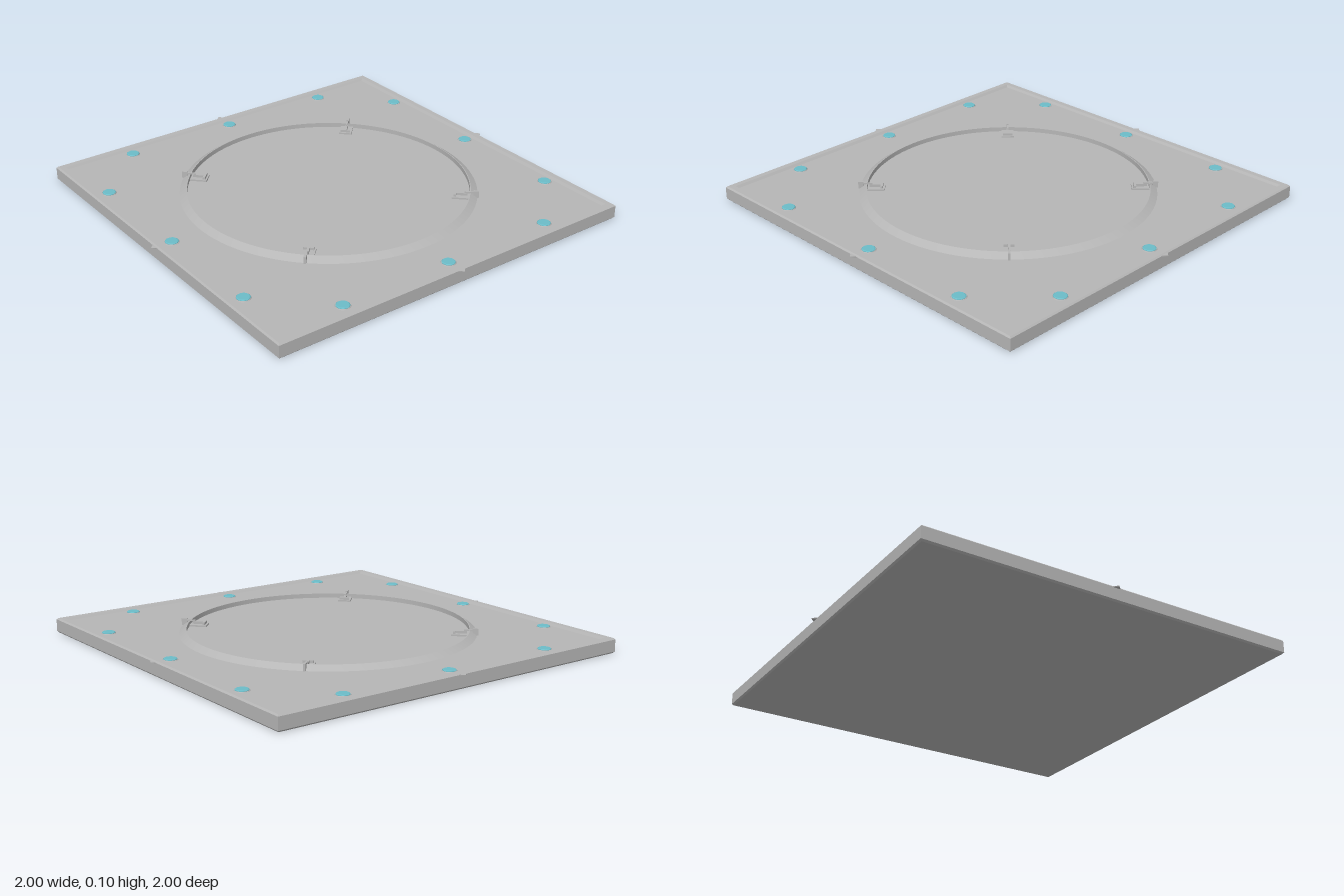
import * as THREE from 'three';
import { toCreasedNormals } from 'three/addons/utils/BufferGeometryUtils.js';

const DECK = 0.064; // height of the deck surface

const lathe = (points, segments, start = 0) => toCreasedNormals(
  new THREE.LatheGeometry(points.map(([r, y]) => new THREE.Vector2(r, y)), segments, start), 0.4);

export function createModel() {
  const model = new THREE.Group();
  const grey = new THREE.MeshStandardMaterial({ color: 0xb6b6b6 });
  grey.name = 'grey metal';
  const teal = new THREE.MeshStandardMaterial({ color: 0x6cbcc8 });
  teal.name = 'teal lamp';

  const add = (parent, name, geometry, material, x = 0, y = 0, z = 0) => {
    const mesh = new THREE.Mesh(geometry, material);
    mesh.name = name;
    mesh.position.set(x, y, z);
    parent.add(mesh);
    return mesh;
  };

  // Square slab with chamfered edges and a raised border, turned with four sides
  const s = Math.SQRT2;
  const slab = [[0, 0], [0.972, 0], [0.98, 0.008], [0.98, 0.068], [0.973, 0.075],
    [0.945, 0.075], [0.936, DECK], [0, DECK]].map(([r, y]) => [r * s, y]);
  add(model, 'slab', lathe(slab, 4, Math.PI / 4), grey);

  // Raised circular lip: sloped outside, upright inside
  add(model, 'ringLip', lathe([[0.73, DECK - 0.001], [0.695, 0.087], [0.691, 0.087], [0.691, DECK - 0.001]], 96), grey);

  // Three edge lamps and one flat pointer along each side
  const lamp = lathe([[0.032, 0], [0.032, 0.005], [0.028, 0.008], [0, 0.008]], 24);
  const socket = lathe([[0.036, 0], [0.034, 0.003], [0.03, 0.003]], 24);
  for (let i = 0; i < 4; i++) {
    const side = new THREE.Group();
    side.name = 'edgeFittings';
    side.rotation.y = i * Math.PI / 2;
    for (const x of [-0.59, 0, 0.59]) {
      add(side, 'lampSocket', socket, grey, x, DECK, 0.892);
      add(side, 'lamp', lamp, teal, x, DECK, 0.892);
    }
    add(side, 'edgePointer', new THREE.CylinderGeometry(0.02, 0.02, 0.004, 4), grey, 0, 0.068, 0.98);
    model.add(side);
  }

  // Tie-down clips on the diagonals, each with an I-shaped rib and an outer fin
  for (let i = 0; i < 4; i++) {
    const clip = new THREE.Group();
    clip.name = 'tieDownClip';
    clip.rotation.y = Math.PI / 4 + i * Math.PI / 2;
    const block = (name, w, h, d, z, y = DECK) =>
      add(clip, name, new THREE.BoxGeometry(w, h, d), grey, 0, y + h / 2, z);
    block('clipBase', 0.066, 0.008, 0.085, 0.647);
    block('clipRib', 0.012, 0.02, 0.06, 0.65);
    block('clipBar', 0.05, 0.02, 0.012, 0.62);
    block('clipArm', 0.008, 0.008, 0.06, 0.695, 0.084);
    block('clipFin', 0.012, 0.034, 0.026, 0.722);
    model.add(clip);
  }

  return model;
}
